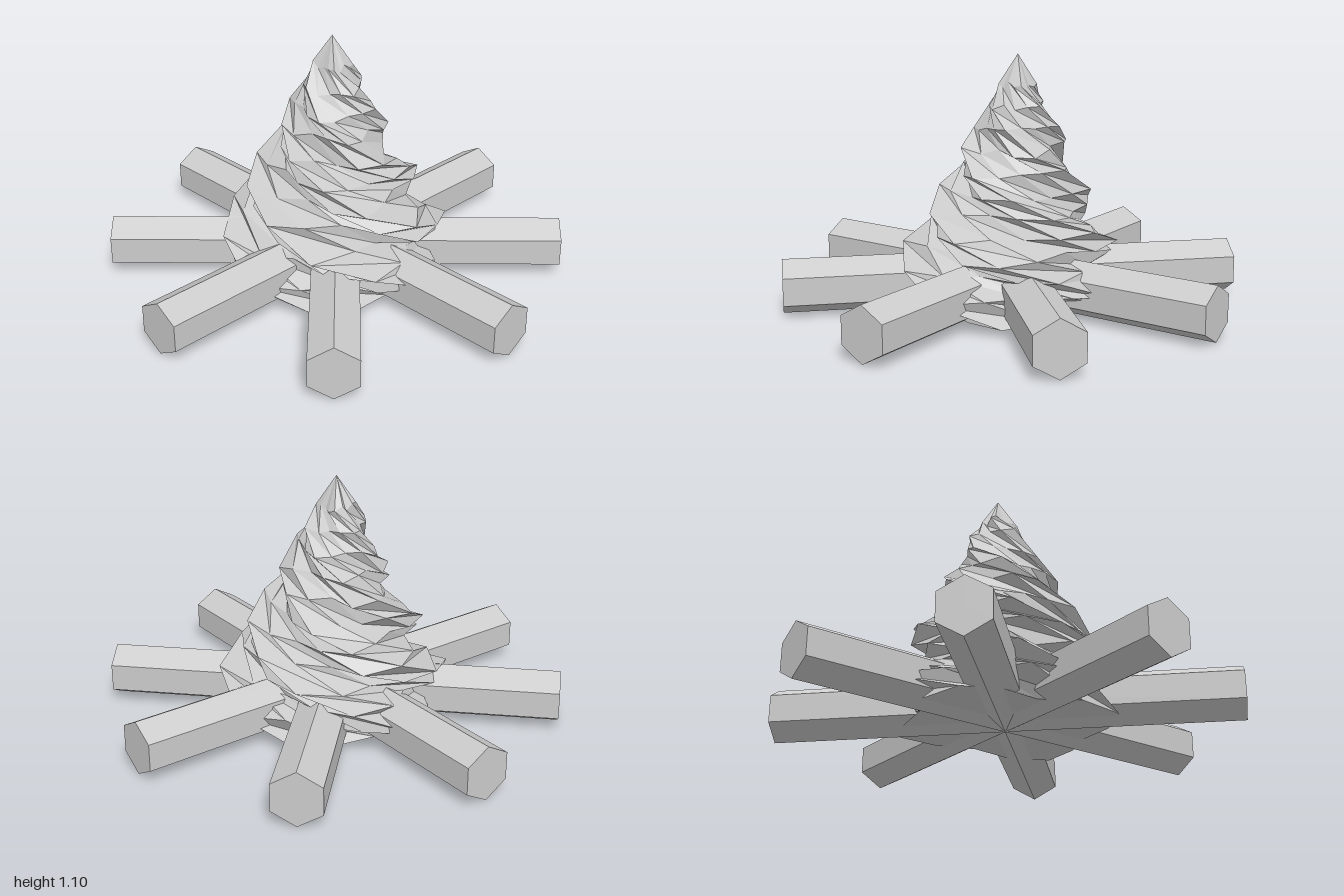
import * as THREE from 'three';

// piecewise linear lookup in [[y, value], ...]
function sample(table, y) {
  for (let i = 1; i < table.length; i++) {
    const [y0, a] = table[i - 1], [y1, b] = table[i];
    if (y <= y1) return a + (b - a) * (y - y0) / (y1 - y0);
  }
  return table[table.length - 1][1];
}

function seeded(seed) {
  return () => {
    seed = (seed * 16807) % 2147483647;
    return seed / 2147483647 - 0.5;
  };
}

// twisted four-ridged flame, lofted from rings that turn as they rise
function flameGeometry() {
  const rand = seeded(4217);
  const crest = [[0.03, 0.5], [0.12, 0.55], [0.24, 0.5], [0.36, 0.44], [0.49, 0.36],
    [0.61, 0.285], [0.75, 0.22], [0.87, 0.155], [0.97, 0.085], [1.1, 0]];
  const levels = [0.03, 0.12, 0.2, 0.28, 0.36, 0.44, 0.52, 0.61, 0.7, 0.79, 0.88, 0.97, 1.1];
  const ridge = [1, 0.87, 0.72, 0.85];
  const cols = 16;
  const pos = [], idx = [];

  levels.forEach((y, i) => {
    const r = sample(crest, y);
    const twist = (y - 0.12) / 0.245 * Math.PI / 2;
    const edge = i === 0 || i === levels.length - 1;
    for (let j = 0; j < cols; j++) {
      const a = j / cols * Math.PI * 2 + twist + rand() * 0.08;
      const rr = r * ridge[j % 4] * (1 + rand() * 0.09);
      const dy = edge ? 0 : rand() * 0.035;
      pos.push(Math.cos(a) * rr * 0.95 + 0.01 * y, y + dy, Math.sin(a) * rr * 1.04 - 0.03 * y);
    }
  });

  for (let i = 0; i < levels.length - 1; i++) {
    for (let j = 0; j < cols; j++) {
      const k = (j + 1) % cols;
      const a = i * cols + j, b = i * cols + k, c = a + cols, d = b + cols;
      if (i === levels.length - 2) idx.push(a, c, b);
      else idx.push(a, c, d, a, d, b);
    }
  }

  // underside
  const center = pos.length / 3;
  pos.push(0, 0.03, 0);
  for (let j = 0; j < cols; j++) idx.push(center, j, (j + 1) % cols);

  const geo = new THREE.BufferGeometry();
  geo.setAttribute('position', new THREE.Float32BufferAttribute(pos, 3));
  geo.setIndex(idx);
  const flat = geo.toNonIndexed();
  flat.computeVertexNormals();
  return flat;
}

export function createModel() {
  const group = new THREE.Group();
  group.name = 'campfire';
  const material = new THREE.MeshStandardMaterial({ color: 0xcccccc, flatShading: true });

  // four hexagonal logs crossing at the middle
  const logGeo = new THREE.CylinderGeometry(0.12, 0.12, 2, 6).rotateX(Math.PI / 2);
  for (let i = 0; i < 4; i++) {
    const log = new THREE.Mesh(logGeo, material);
    log.name = 'log' + (i + 1);
    log.position.y = 0.12;
    log.rotation.y = i * Math.PI / 4;
    group.add(log);
  }

  // flame
  const flame = new THREE.Mesh(flameGeometry(), material);
  flame.name = 'flame';
  group.add(flame);

  return group;
}
